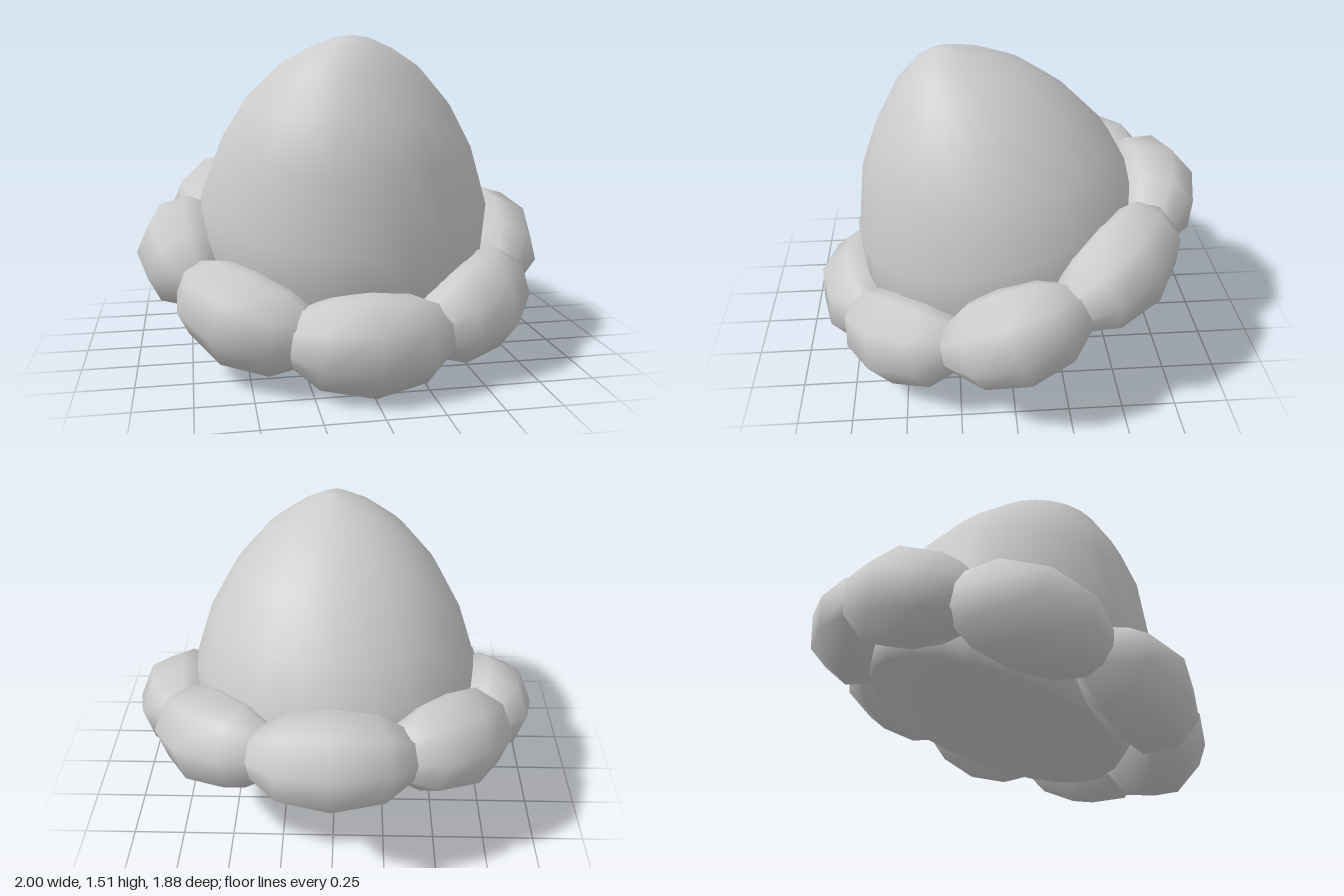
import * as THREE from 'three';
import { mergeVertices } from 'three/addons/utils/BufferGeometryUtils.js';

const SIDES = 24;
const BRIM_RADIUS = 0.77;

// Skin through tilted oval rings, each given as [frontZ, frontY, backZ, backY, halfWidth]
function loft(rings, material) {
  const pos = [], index = [];
  rings.forEach(([fz, fy, bz, by, w], i) => {
    for (let j = 0; j < SIDES; j++) {
      const a = (j / SIDES) * Math.PI * 2;
      const t = (1 - Math.cos(a)) / 2;
      pos.push(w * Math.sin(a), fy + (by - fy) * t, fz + (bz - fz) * t);
      if (i === rings.length - 1) continue;
      const p = i * SIDES + j, q = i * SIDES + ((j + 1) % SIDES);
      index.push(p, q, p + SIDES, q, q + SIDES, p + SIDES);
    }
  });
  const geo = new THREE.BufferGeometry();
  geo.setAttribute('position', new THREE.Float32BufferAttribute(pos, 3));
  geo.setIndex(index);
  geo.computeVertexNormals();
  return new THREE.Mesh(geo, material);
}

// Low-poly ellipsoid bent along the brim circle
function makePuff(halfLength) {
  let geo = new THREE.SphereGeometry(1, 8, 6);
  geo.rotateZ(Math.PI / 2).scale(halfLength, 0.234, 0.23);
  const p = geo.attributes.position;
  for (let i = 0; i < p.count; i++) {
    const a = p.getX(i) / BRIM_RADIUS, r = BRIM_RADIUS + p.getZ(i);
    p.setXYZ(i, r * Math.sin(a), p.getY(i), r * Math.cos(a));
  }
  geo.deleteAttribute('uv');
  geo.deleteAttribute('normal');
  geo = mergeVertices(geo);
  geo.computeVertexNormals();
  return geo;
}

export function createModel() {
  const model = new THREE.Group();
  const grey = new THREE.MeshStandardMaterial({ color: 0xcccccc });

  // Crown: rounded cone leaning forward, closed by a flat tilted underside
  const crown = loft([
    [-0.07, 0.3, -0.07, 0.3, 0],
    [0.5, 0.1, -0.64, 0.5, 0.62],
    [0.63, 0.18, -0.67, 0.61, 0.67],
    [0.7, 0.4, -0.65, 0.76, 0.685],
    [0.72, 0.59, -0.6, 0.9, 0.69],
    [0.68, 0.93, -0.5, 1.08, 0.6],
    [0.61, 1.13, -0.3, 1.28, 0.48],
    [0.5, 1.34, -0.12, 1.4, 0.325],
    [0.41, 1.445, 0.03, 1.46, 0.19],
    [0.33, 1.5, 0.14, 1.495, 0.08],
    [0.24, 1.51, 0.24, 1.51, 0],
  ], grey);
  crown.name = 'crown';
  model.add(crown);

  // Brim: eight puffs on a ring that rises towards the back
  const brim = new THREE.Group();
  brim.name = 'brim';
  brim.position.y = 0.484;
  brim.rotation.x = 0.345;
  const longPuff = makePuff(0.395), sidePuff = makePuff(0.35);
  for (let i = 0; i < 8; i++) {
    const puff = new THREE.Mesh(i % 4 === 2 ? sidePuff : longPuff, grey);
    // diagonal puffs sit slightly closer in and a little forward
    const diagonal = i % 2;
    puff.rotation.y = (i / 8) * Math.PI * 2 - diagonal * 0.02 * (i < 4 ? 1 : -1);
    puff.scale.setScalar(diagonal ? 0.98 : 1);
    puff.name = 'brimPuff' + (i + 1);
    brim.add(puff);
  }
  model.add(brim);
  return model;
}
